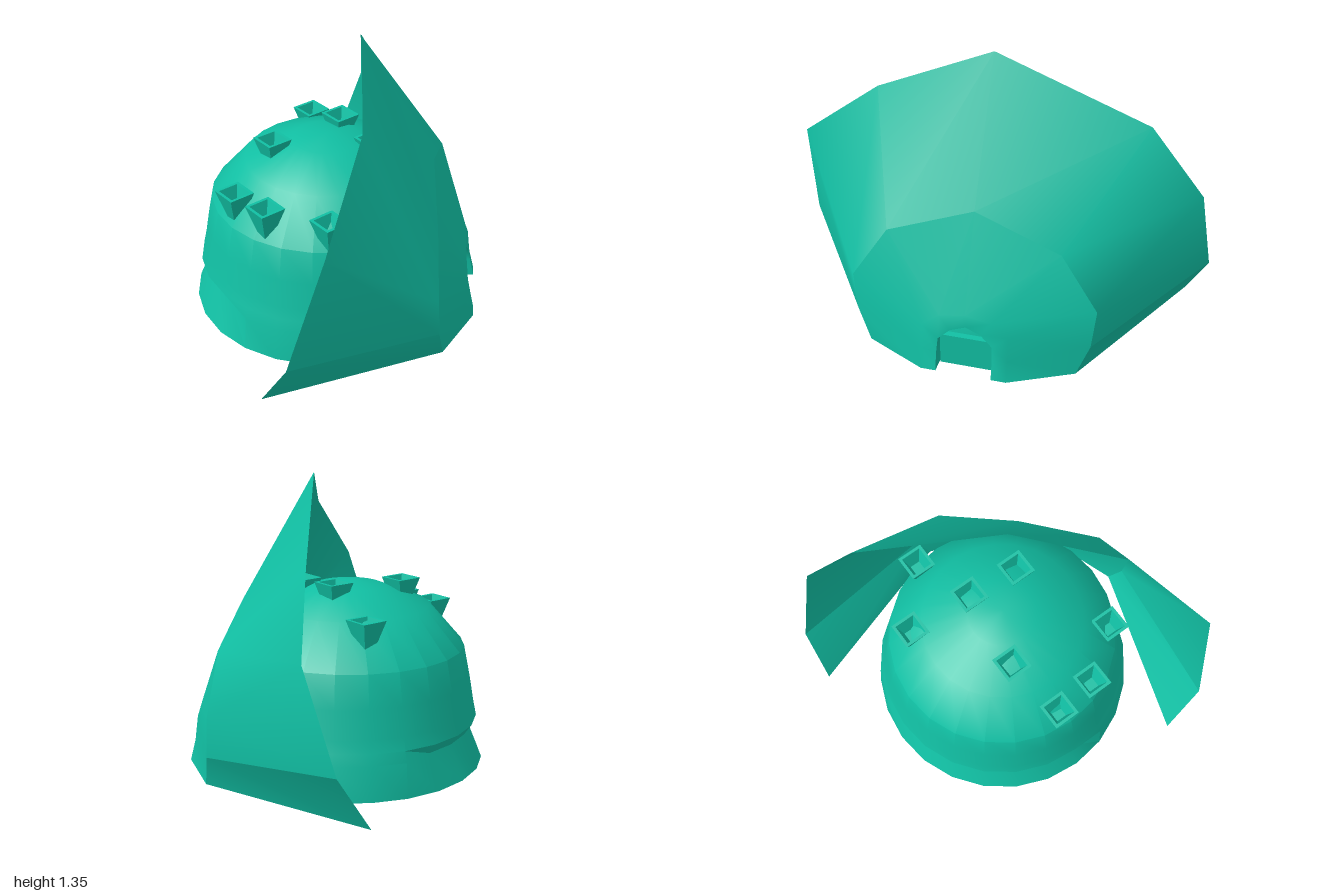
import * as THREE from 'three';
import { toCreasedNormals } from 'three/addons/utils/BufferGeometryUtils.js';

const material = new THREE.MeshStandardMaterial({ color: 0x11bfa3, side: THREE.DoubleSide });

function addMesh(parent, name, geometry) {
  const mesh = new THREE.Mesh(geometry, material);
  mesh.name = name;
  parent.add(mesh);
  return mesh;
}

// Skin between successive open cross-sections with equal point counts
function loft(rings, from = 0, to = rings[0].length - 1) {
  const n = to - from + 1;
  const index = [];
  for (let j = 0; j < rings.length - 1; j++) {
    for (let i = 0; i < n - 1; i++) {
      const a = j * n + i, b = a + n;
      index.push(a, b, a + 1, a + 1, b, b + 1);
    }
  }
  const g = new THREE.BufferGeometry();
  const points = rings.flatMap((r) => r.slice(from, to + 1)).flat();
  g.setAttribute('position', new THREE.Float32BufferAttribute(points, 3));
  g.setIndex(index);
  g.computeVertexNormals();
  return g;
}

// Half arch (+z side up to the crown) completed on the -z side
const mirrorArch = (half) => [
  ...half,
  ...half.slice(0, -1).reverse().map(([x, y, z]) => [x, y, -z]),
];

// Rounded inner dome with an undercut band on the -x side
function domeGeometry() {
  const profile = [
    [0, 0], [0.64, 0], [0.625, 0.16], [0.61, 0.21], [0.597, 0.27],
    [0.575, 0.4], [0.545, 0.55], [0.38, 0.74], [0.16, 0.828], [0, 0.848],
  ].map(([r, y]) => new THREE.Vector2(r, y));
  const g = new THREE.LatheGeometry(profile, 24);
  const p = g.attributes.position;
  for (let i = 0; i < p.count; i++) {
    const x = p.getX(i), y = p.getY(i), z = p.getZ(i);
    const undercut = Math.abs(y - 0.16) < 0.01 && Math.abs(Math.atan2(z, -x)) < 0.8;
    const k = undercut ? 0.92 : 1;
    p.setXYZ(i, x * k, y, z * k);
  }
  g.translate(-0.05, 0, 0);
  return toCreasedNormals(g, 0.55);
}

// Hollow four-sided cup tapering downwards, origin at its rim
function cupGeometry() {
  const profile = [[0, -0.18], [0.018, -0.18], [0.09, 0], [0.07, 0], [0.035, -0.08], [0, -0.08]]
    .map(([r, y]) => new THREE.Vector2(r, y));
  return toCreasedNormals(new THREE.LatheGeometry(profile, 4), 0.1);
}

export function createModel() {
  const model = new THREE.Group();
  model.name = 'hoodedDome';

  addMesh(model, 'dome', domeGeometry());

  // Hood cross-sections, from the wide open rim to the small doorway
  const rim = [
    [-0.24, 0, 0.89], [-0.11, 0.26, 1], [0.05, 0.8, 0.95], [0.16, 1.14, 0.53], [0.11, 1.35, 0],
    [0.05, 1.04, -0.7], [0.035, 0.71, -0.95], [-0.11, 0.26, -1], [-0.24, 0, -0.89],
  ];
  const middle = mirrorArch([
    [0.54, 0, 0.49], [0.52, 0.15, 0.55], [0.51, 0.34, 0.57], [0.49, 0.6, 0.4], [0.455, 0.74, 0],
  ]);
  const back = mirrorArch([
    [0.68, 0, 0.2], [0.655, 0.1, 0.2], [0.64, 0.22, 0.2], [0.632, 0.28, 0.12], [0.63, 0.3, 0],
  ]);
  const doorway = mirrorArch([
    [0.68, 0, 0.13], [0.66, 0.09, 0.13], [0.645, 0.16, 0.125], [0.635, 0.21, 0.07], [0.63, 0.235, 0],
  ]);
  const doorwayInner = doorway.map(([, y, z]) => [0.565, y, z]);

  const hood = new THREE.Group();
  hood.name = 'hood';
  model.add(hood);
  addMesh(hood, 'hoodShell', loft([rim, middle], 1, 7));
  addMesh(hood, 'hoodBack', loft([middle, back, doorway]));
  addMesh(hood, 'leftSkirt', loft([rim, middle], 0, 1));
  addMesh(hood, 'rightSkirt', loft([rim, middle], 7, 8));
  addMesh(hood, 'doorwayLining', loft([doorway, doorwayInner]));

  // Door panel set back in the doorway
  const door = addMesh(hood, 'door', new THREE.BoxGeometry(0.03, 0.16, 0.25));
  door.position.set(0.6, 0.08, 0);

  // Cups scattered over the dome: x, rim height, z
  const cup = cupGeometry();
  [
    [-0.17, 0.76, -0.41], [0, 0.87, -0.16], [-0.29, 0.85, 0.08], [-0.43, 0.7, 0.32],
    [-0.27, 0.71, 0.45], [0.02, 0.69, 0.5], [0.17, 0.85, 0.03], [0.19, 0.7, -0.45],
  ].forEach((at, i) => addMesh(model, `cup${i + 1}`, cup).position.set(...at));

  return model;
}
